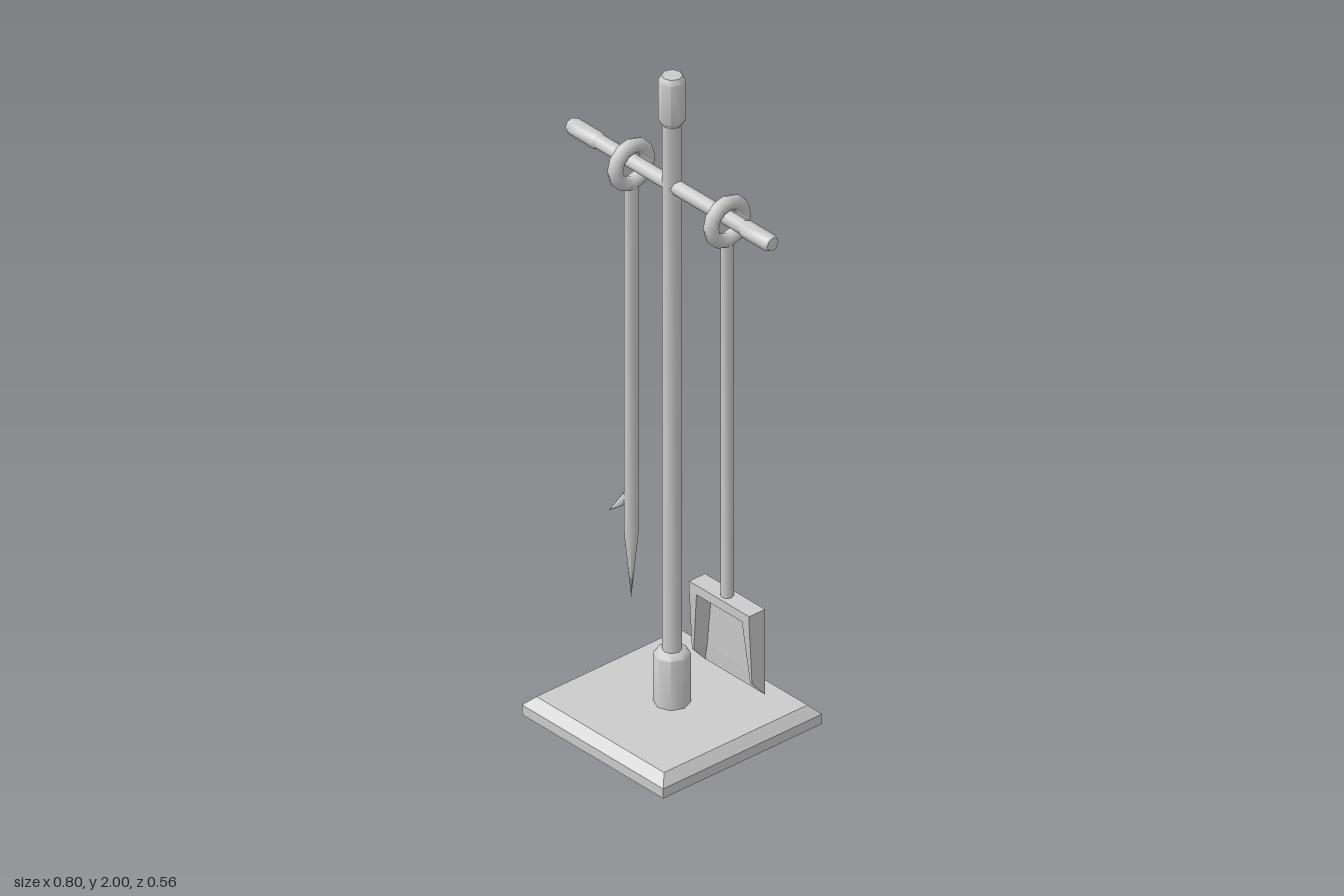
import * as THREE from 'three';
import { toCreasedNormals } from 'three/addons/utils/BufferGeometryUtils.js';

const material = new THREE.MeshStandardMaterial({ color: 0xcccccc });
const flatMaterial = new THREE.MeshStandardMaterial({ color: 0xcccccc, flatShading: true, side: THREE.DoubleSide });

function add(parent, name, geometry, mat = material) {
  const mesh = new THREE.Mesh(geometry, mat);
  mesh.name = name;
  parent.add(mesh);
  return mesh;
}

// Turned eight-sided part from [radius, height] pairs, bottom to top
function turned(profile) {
  const points = profile.map(([r, y]) => new THREE.Vector2(r, y));
  return toCreasedNormals(new THREE.LatheGeometry(points, 8), 0.9);
}

// Cylinder with chamfered ends
function grip(r, neck, y0, y1, c) {
  return turned([[0, y0], [neck, y0], [r, y0 + c], [r, y1 - c], [neck, y1], [0, y1]]);
}

// Square plate with a bevelled upper edge, from stacked square sections
function baseGeometry() {
  const k = Math.SQRT2;
  const profile = [[0, 0], [0.28 * k, 0], [0.28 * k, 0.03], [0.253 * k, 0.057], [0, 0.057]];
  const g = new THREE.LatheGeometry(profile.map(([r, y]) => new THREE.Vector2(r, y)), 4);
  return g.rotateY(Math.PI / 4);
}

// Shovel pan: U-shaped sections joined from top to bottom
function panGeometry() {
  const w = 0.119, back = -0.028;
  // [height, front z, floor z, half width of hollow at front, at floor]
  const levels = [
    [0.484, 0.028, 0.028, 0.09, 0.083],
    [0.455, 0.028, 0.028, 0.09, 0.083],
    [0.455, 0.028, -0.02, 0.09, 0.083],
    [0.27, 0.018, -0.024, 0.112, 0.106],
    [0.22, -0.027, -0.027, 0.118, 0.117],
  ];
  const sections = levels.map(([y, front, floor, a, b]) => [
    [-w, y, back], [w, y, back], [w, y, front], [a, y, front],
    [b, y, floor], [-b, y, floor], [-a, y, front], [-w, y, front],
  ]);
  const out = [];
  for (let i = 0; i < sections.length - 1; i++) {
    const s = sections[i], t = sections[i + 1];
    for (let j = 0; j < 8; j++) {
      const n = (j + 1) % 8;
      out.push(...s[j], ...s[n], ...t[j], ...s[n], ...t[n], ...t[j]);
    }
  }
  const top = sections[0];
  out.push(...top[0], ...top[7], ...top[1], ...top[1], ...top[7], ...top[2]);
  const g = new THREE.BufferGeometry();
  g.setAttribute('position', new THREE.Float32BufferAttribute(out, 3));
  g.computeVertexNormals();
  return g;
}

// Hanging tool: ring and rod, centred on its own axis
function hangingTool(name, x, rodProfile) {
  const tool = new THREE.Group();
  tool.name = name;
  tool.position.set(x, 0, -0.003);
  const ring = add(tool, 'hangingRing', new THREE.TorusGeometry(0.057, 0.021, 8, 12));
  ring.rotation.y = Math.PI / 2;
  ring.position.y = 1.645;
  add(tool, 'rod', turned(rodProfile));
  return tool;
}

export function createModel() {
  const model = new THREE.Group();
  model.name = 'fireToolStand';

  // Stand
  add(model, 'base', baseGeometry(), flatMaterial);
  add(model, 'collar', turned([[0, 0.05], [0.05, 0.05], [0.05, 0.207], [0.036, 0.22], [0, 0.22]]));
  add(model, 'post', turned([[0.027, 0.2], [0.027, 1.87]]));
  add(model, 'topGrip', grip(0.037, 0.028, 1.85, 2, 0.014));

  // Crossbar with a grip at each end
  const crossbar = new THREE.Group();
  crossbar.name = 'crossbar';
  crossbar.position.y = 1.66;
  crossbar.rotation.z = -Math.PI / 2;
  add(crossbar, 'bar', turned([[0.021, -0.3], [0.021, 0.3]]));
  for (const side of [-1, 1]) {
    const end = add(crossbar, side > 0 ? 'leftGrip' : 'rightGrip', grip(0.025, 0.02, 0.282, 0.4, 0.01));
    if (side < 0) end.rotation.z = Math.PI;
  }
  model.add(crossbar);

  // Poker with pointed tip and side barb
  const poker = hangingTool('poker', -0.165, [[0, 0.3], [0.019, 0.5], [0.019, 1.59], [0, 1.59]]);
  const barb = add(poker, 'barb', new THREE.ConeGeometry(0.021, 0.13, 8));
  const direction = new THREE.Vector3(-0.09, -0.093, 0).normalize();
  barb.quaternion.setFromUnitVectors(new THREE.Vector3(0, 1, 0), direction);
  barb.position.set(-0.045, 0.574, 0);
  barb.scale.z = 0.85;
  model.add(poker);

  // Shovel
  const shovel = hangingTool('shovel', 0.215, [[0, 0.47], [0.018, 0.47], [0.018, 1.59], [0, 1.59]]);
  add(shovel, 'pan', panGeometry(), flatMaterial);
  model.add(shovel);

  return model;
}
